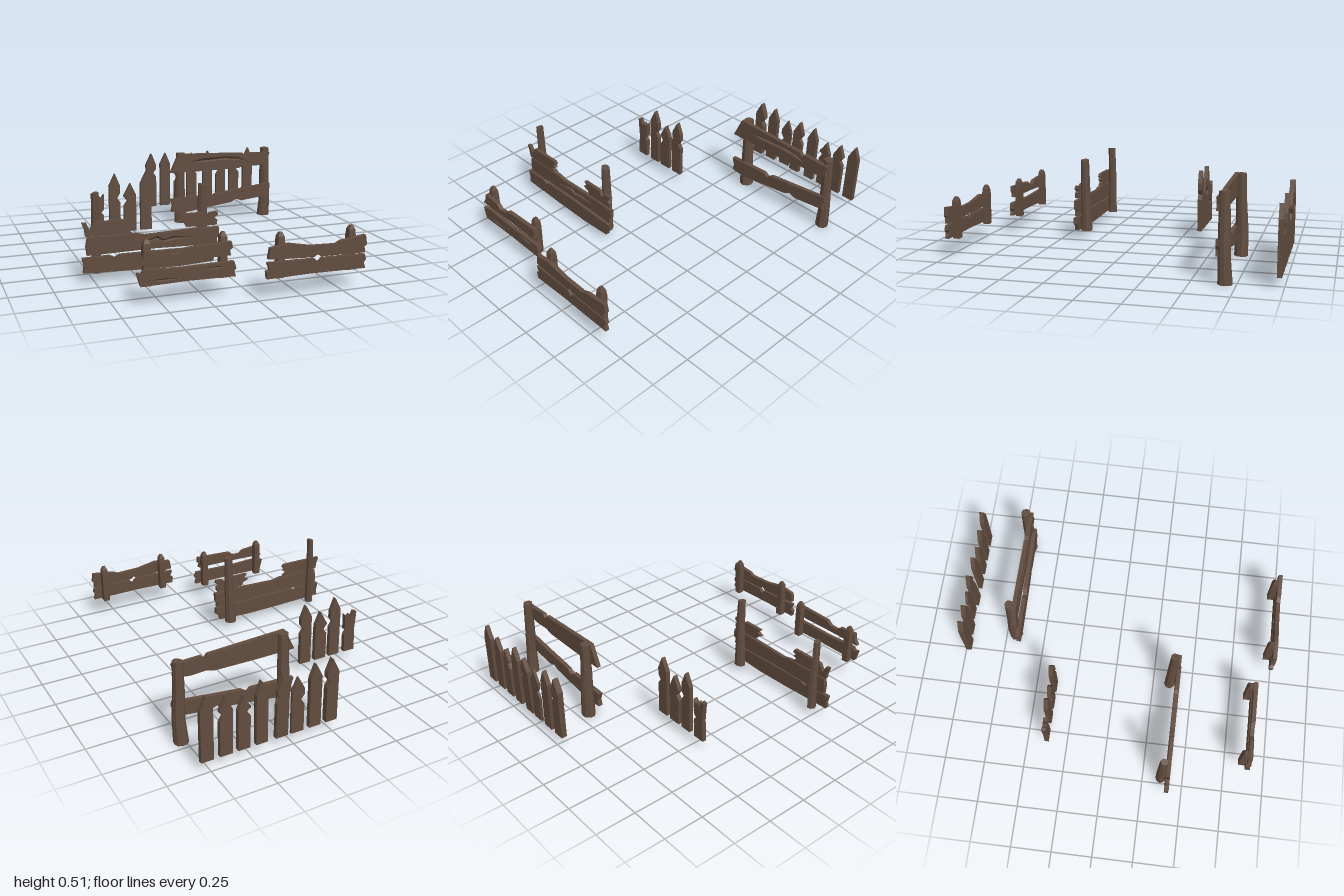
import * as THREE from 'three';

const wood = new THREE.MeshStandardMaterial({ color: 0x614c3f });
wood.name = 'weathered brown wood';
wood.flatShading = true;

// Small seeded generator for the bark irregularity
function seeded(s) {
  return () => (s = (s * 16807) % 2147483647) / 2147483647;
}

function add(parent, name, geometry) {
  const mesh = new THREE.Mesh(geometry, wood);
  mesh.name = name;
  parent.add(mesh);
  return mesh;
}

const toPoints = (list) => list.map(([x, y]) => new THREE.Vector2(x, y));

function slab(points, z0, z1, holes = []) {
  const shape = new THREE.Shape(toPoints(points));
  for (const h of holes) shape.holes.push(new THREE.Path(toPoints(h)));
  return new THREE.ExtrudeGeometry(shape, { depth: z1 - z0, bevelEnabled: false }).translate(0, 0, z0);
}

// V-shaped groove between an upper and lower edge; rows are [x, yLow, yHigh]
function groove(rows, zTop, zDeep) {
  const pos = [];
  const edge = (r, k) => (k === 1 ? [r[0], r[1] + (r[2] - r[1]) * 0.35, r[1] === r[2] ? zTop : zDeep] : [r[0], r[k === 0 ? 1 : 2], zTop]);
  for (let i = 0; i < rows.length - 1; i++) {
    for (const k of [0, 1]) {
      const a = edge(rows[i], k), b = edge(rows[i + 1], k), c = edge(rows[i + 1], k + 1), d = edge(rows[i], k + 1);
      pos.push(...a, ...b, ...c, ...a, ...c, ...d);
    }
  }
  const g = new THREE.BufferGeometry();
  g.setAttribute('position', new THREE.Float32BufferAttribute(pos, 3));
  g.computeVertexNormals();
  return g;
}

// Board with an outline in x/y and optional carved cracks in its front
function plank(parent, name, points, z0, z1, cracks = []) {
  if (!cracks.length) return add(parent, name, slab(points, z0, z1));
  const mid = z0 + (z1 - z0) * 0.45;
  const holes = cracks.map((rows) => [
    ...rows.map((r) => [r[0], r[1]]),
    ...rows.slice(1, -1).reverse().map((r) => [r[0], r[2]]),
    ...[],
  ]);
  add(parent, name + 'Back', slab(points, z0, mid));
  add(parent, name + 'Front', slab(points, mid, z1, holes));
  for (const rows of cracks) add(parent, name + 'Crack', groove(rows, z1, mid));
}

// Post through cross-sections [y, x, z, rx, rz]; the top may slant along x
function post(parent, name, rings, sides, rough = 0, slant = 0) {
  const rnd = seeded(Math.round(Math.abs(rings[0][1]) * 1000) + 77);
  const bark = Array.from({ length: sides }, () => 1 - rough * rnd());
  const g = new THREE.CylinderGeometry(1, 1, 1, sides, rings.length - 1);
  const p = g.attributes.position;
  const turn = sides === 4 ? Math.PI / 4 : 0.2;
  const k = sides === 4 ? Math.SQRT2 : 1;
  for (let i = 0; i < p.count; i++) {
    const level = Math.round((p.getY(i) + 0.5) * (rings.length - 1));
    const [y, cx, cz, rx, rz] = rings[level];
    const r = Math.hypot(p.getX(i), p.getZ(i));
    const a = Math.atan2(p.getX(i), p.getZ(i));
    const n = (Math.round((a / (2 * Math.PI)) * sides) + sides) % sides;
    const s = r * k * bark[n];
    const dx = Math.sin(a + turn) * s * rx;
    p.setXYZ(i, cx + dx, y + (level === rings.length - 1 ? slant * dx : 0), cz + Math.cos(a + turn) * s * rz);
  }
  return add(parent, name, g);
}

// Pointed picket with a chipped notch on one side
function picket(parent, x, w, top, z0, z1, notchY, side) {
  const h = w / 2, s = top - 0.08;
  const pts = [[-h, 0.06], [h, 0.06], [h, s], [0.004, top], [-h, s]];
  const chip = [[h, notchY - 0.03], [h * 0.45, notchY], [h * 0.7, notchY + 0.015], [h, notchY + 0.03]];
  if (side > 0) pts.splice(2, 0, ...chip);
  if (side < 0) pts.push(...chip.reverse().map(([a, b]) => [-a, b]));
  return add(parent, 'picket', slab(pts.map(([a, b]) => [a + x, b]), z0, z1));
}

function section(root, name) {
  const g = new THREE.Group();
  g.name = name;
  root.add(g);
  return g;
}

// Square stakes with tapered tops carrying the two low rail fences
function stakes(parent, xs, zc) {
  for (const x of xs) {
    post(parent, 'stake', [[0.105, x, zc, 0.02, 0.02], [0.3, x, zc, 0.021, 0.021], [0.335, x, zc, 0.018, 0.018], [0.357, x, zc, 0.008, 0.009]], 4);
  }
}

export function createModel() {
  const root = new THREE.Group();
  root.name = 'brokenFences';

  // Low rail fence, front left
  const a = section(root, 'lowFenceLeft');
  stakes(a, [0.135, 0.56], 0.955);
  plank(a, 'upperRail', [[0.05, 0.225], [0.2, 0.215], [0.32, 0.21], [0.34, 0.175], [0.36, 0.21], [0.63, 0.205], [0.625, 0.24], [0.64, 0.25],
    [0.63, 0.305], [0.48, 0.285], [0.45, 0.27], [0.3, 0.275], [0.17, 0.3], [0.06, 0.285]].map(([x, y]) => [x, y === 0.175 ? 0.225 : y]), 0.975, 1);
  plank(a, 'lowerRail', [[0.045, 0.115], [0.3, 0.12], [0.635, 0.115], [0.625, 0.15], [0.638, 0.165], [0.63, 0.195],
    [0.37, 0.2], [0.345, 0.175], [0.325, 0.2], [0.045, 0.205], [0.06, 0.165], [0.04, 0.155]], 0.975, 1);

  // Low rail fence, front right
  const b = section(root, 'lowFenceRight');
  stakes(b, [-0.575, -0.15], 0.847);
  plank(b, 'upperRail', [[-0.63, 0.23], [-0.4, 0.235], [-0.12, 0.235], [-0.125, 0.265], [-0.11, 0.275], [-0.115, 0.31],
    [-0.37, 0.3], [-0.4, 0.275], [-0.45, 0.27], [-0.48, 0.295], [-0.6, 0.305], [-0.605, 0.27]], 0.868, 0.893);
  plank(b, 'lowerRail', [[-0.62, 0.115], [-0.35, 0.12], [-0.09, 0.115], [-0.1, 0.145], [-0.088, 0.16], [-0.1, 0.2],
    [-0.4, 0.195], [-0.6, 0.205], [-0.615, 0.185], [-0.64, 0.19], [-0.63, 0.15]], 0.868, 0.893,
  [[[-0.58, 0.145, 0.145], [-0.5, 0.132, 0.148], [-0.38, 0.14, 0.14]], [[-0.29, 0.178, 0.178], [-0.19, 0.168, 0.184], [-0.14, 0.176, 0.176]]]);

  // Wide boarded fence with a broken top board
  const c = section(root, 'boardedFence');
  post(c, 'thinPost', [[0.045, -0.73, 0.362, 0.03, 0.032], [0.2, -0.728, 0.36, 0.027, 0.029], [0.36, -0.73, 0.362, 0.024, 0.028], [0.508, -0.727, 0.365, 0.022, 0.026]], 7, 0.15, 0.2);
  post(c, 'thickPost', [[0.045, -0.098, 0.356, 0.04, 0.037], [0.2, -0.093, 0.358, 0.033, 0.033], [0.36, -0.088, 0.36, 0.029, 0.03], [0.51, -0.088, 0.362, 0.027, 0.027]], 8, 0.15, -0.15);
  plank(c, 'brokenTopBoardRight', [[-0.795, 0.27], [-0.525, 0.268], [-0.56, 0.29], [-0.53, 0.305], [-0.545, 0.32], [-0.525, 0.33], [-0.535, 0.35],
    [-0.74, 0.35], [-0.77, 0.305], [-0.79, 0.35], [-0.815, 0.35], [-0.8, 0.31]], 0.388, 0.41);
  plank(c, 'brokenTopBoardLeft', [[-0.2, 0.272], [-0.015, 0.27], [-0.01, 0.3], [-0.03, 0.315], [-0.005, 0.33], [-0.01, 0.35], [-0.06, 0.345],
    [-0.08, 0.315], [-0.1, 0.35], [-0.24, 0.35], [-0.215, 0.325], [-0.25, 0.31], [-0.21, 0.295]], 0.385, 0.407);
  plank(c, 'middleBoard', [[-0.79, 0.16], [-0.4, 0.165], [-0.01, 0.155], [-0.015, 0.19], [0, 0.2], [0, 0.255], [-0.12, 0.26],
    [-0.45, 0.25], [-0.5, 0.262], [-0.785, 0.262], [-0.795, 0.21]], 0.386, 0.41,
  [[[-0.52, 0.193, 0.193], [-0.38, 0.215, 0.237], [-0.34, 0.197, 0.213], [-0.28, 0.205, 0.228], [-0.16, 0.21, 0.21]]]);
  plank(c, 'lowerBoard', [[-0.815, 0.062], [-0.5, 0.05], [-0.25, 0.045], [-0.04, 0.055], [-0.03, 0.09], [-0.008, 0.1], [-0.01, 0.14],
    [-0.3, 0.148], [-0.6, 0.15], [-0.63, 0.135], [-0.66, 0.15], [-0.82, 0.148], [-0.81, 0.1]], 0.392, 0.418);

  // Small group of four pickets, one snapped
  const d = section(root, 'smallPicketRow');
  [[-0.428, 0.072, 0.45, 0.29, 1], [-0.325, 0.08, 0.38, 0.26, -1], [-0.217, 0.074, 0.45, 0.295, 1]]
    .forEach(([x, w, top, n, s]) => picket(d, x, w, top, -0.387, -0.36, n, s));
  plank(d, 'snappedPicket', [[-0.582, 0.06], [-0.505, 0.06], [-0.503, 0.18], [-0.52, 0.2], [-0.503, 0.22], [-0.5, 0.32], [-0.52, 0.295],
    [-0.535, 0.315], [-0.55, 0.29], [-0.565, 0.33], [-0.585, 0.325], [-0.575, 0.2]], -0.387, -0.36);

  // Long row of eight pickets at the back: x, width, top, z, notch height and side
  const e = section(root, 'longPicketRow');
  [[0, 0.072, 0.45, -0.988, -0.953, 0.31, 1], [0.108, 0.074, 0.45, -0.988, -0.961, 0.3, 0], [0.22, 0.078, 0.405, -0.988, -0.972, 0.26, -1],
    [0.317, 0.074, 0.435, -0.988, -0.961, 0.31, 1], [0.44, 0.07, 0.445, -0.988, -0.961, 0.3, 0], [0.546, 0.072, 0.385, -0.988, -0.961, 0.29, -1],
    [0.652, 0.074, 0.415, -0.988, -0.961, 0.3, 1], [0.763, 0.074, 0.45, -0.988, -0.961, 0.28, 0]]
    .forEach(([x, w, top, z0, z1, n, s], i) => {
      const m = picket(e, x, w, top, z0, z1, n, s);
      if (i === 3) m.geometry.translate(0, -0.06, 0.975).rotateX(-0.03).translate(0, 0.06, -0.975);
    });

  // Tall two-rail fence on thick posts
  const f = section(root, 'tallRailFence');
  post(f, 'rightPost', [[0, 0.133, -0.69, 0.05, 0.045], [0.15, 0.128, -0.692, 0.043, 0.042], [0.32, 0.13, -0.685, 0.038, 0.036], [0.498, 0.131, -0.682, 0.033, 0.031]], 9, 0.14);
  post(f, 'leftPost', [[0, 0.775, -0.692, 0.045, 0.044], [0.15, 0.782, -0.685, 0.038, 0.038], [0.32, 0.774, -0.683, 0.034, 0.036], [0.5, 0.772, -0.68, 0.03, 0.032]], 9, 0.14);
  plank(f, 'topRail', [[0.045, 0.368], [0.3, 0.367], [0.55, 0.37], [0.6, 0.385], [0.69, 0.38], [0.735, 0.385], [0.79, 0.395], [0.785, 0.43],
    [0.795, 0.47], [0.62, 0.475], [0.6, 0.455], [0.585, 0.478], [0.35, 0.488], [0.105, 0.498]], -0.663, -0.637,
  [[[0.18, 0.438, 0.438], [0.28, 0.43, 0.458], [0.45, 0.437, 0.462], [0.55, 0.43, 0.452], [0.62, 0.418, 0.418]]]);
  plank(f, 'slopingRail', [[0.05, 0.09], [0.15, 0.078], [0.35, 0.105], [0.5, 0.125], [0.54, 0.145], [0.58, 0.13], [0.8, 0.155], [0.79, 0.19],
    [0.803, 0.21], [0.8, 0.245], [0.6, 0.22], [0.38, 0.195], [0.345, 0.17], [0.32, 0.19], [0.045, 0.18], [0.06, 0.13]], -0.665, -0.638);

  return root;
}
